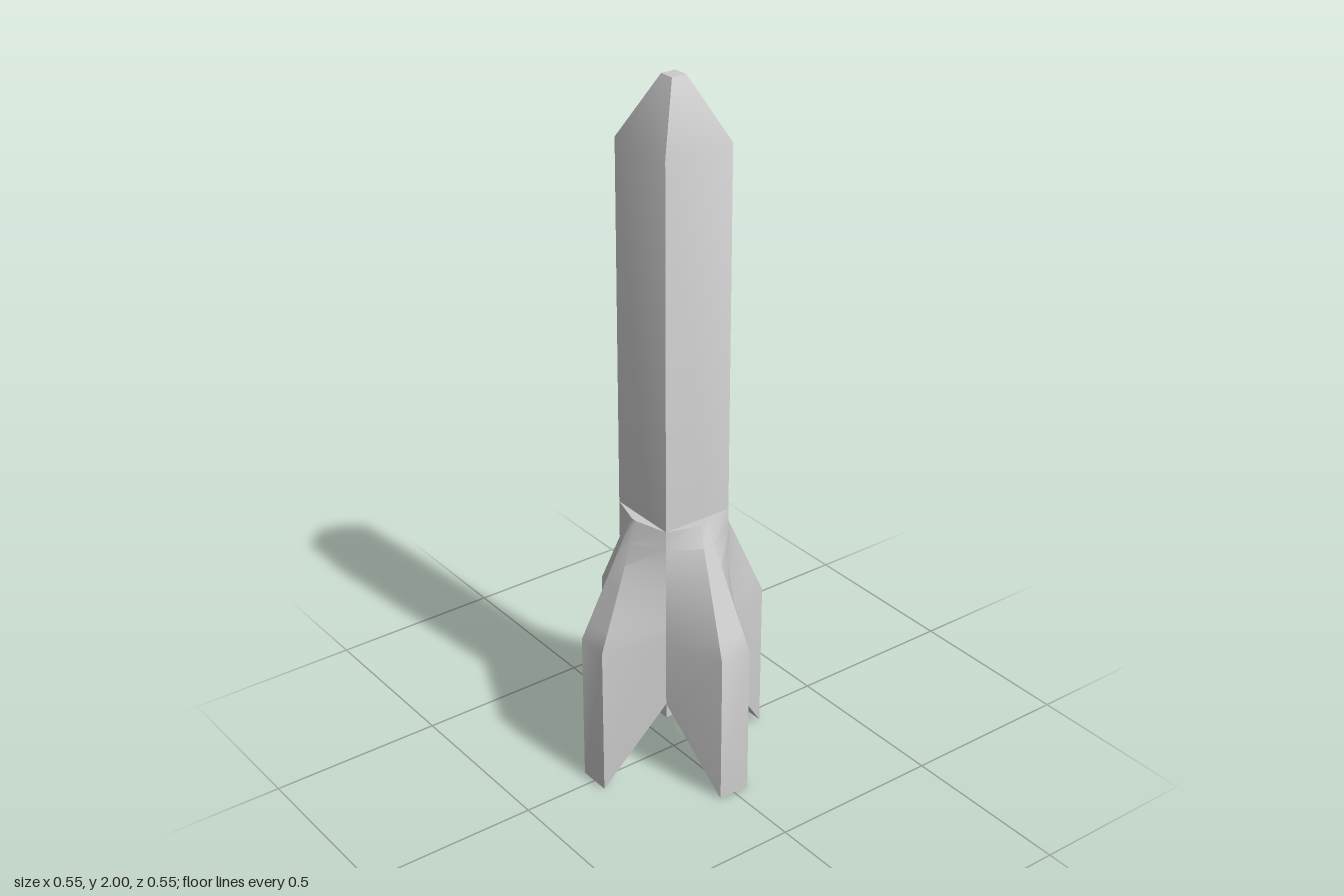
import * as THREE from 'three';
import { toCreasedNormals } from 'three/addons/utils/BufferGeometryUtils.js';

const CREASE = 0.6;
const HALF = 0.105; // half width of the square body

// Square body with a tapered, flat-tipped nose
function bodyGeometry() {
  const profile = [[0, 0.2], [HALF, 0.2], [HALF, 1.83], [0.022, 2], [0, 2]]
    .map(([h, y]) => new THREE.Vector2(h * Math.SQRT2, y));
  return toCreasedNormals(new THREE.LatheGeometry(profile, 4, Math.PI / 4), CREASE);
}

// Fin pointing to +x, lofted upwards through four-cornered sections
function finGeometry() {
  const section = (innerY, outerY, reach, halfWidth) => [
    [HALF, innerY, HALF], [reach, outerY, halfWidth],
    [reach, outerY, -halfWidth], [HALF, innerY, -HALF],
  ];
  const sections = [section(0.245, 0, 0.277, 0.047)];
  const steps = 6;
  for (let i = 0; i <= steps; i++) {
    const t = i / steps;
    const y = THREE.MathUtils.lerp(0.445, 0.79, t);
    sections.push(section(y, y, THREE.MathUtils.lerp(0.277, 0.132, t),
      THREE.MathUtils.lerp(0.047, 0.011, t)));
  }

  const positions = [];
  const quad = (a, b, c, d) => positions.push(...a, ...b, ...c, ...a, ...c, ...d);
  for (let k = 0; k < sections.length - 1; k++) {
    const low = sections[k], high = sections[k + 1];
    for (let j = 0; j < 3; j++) quad(low[j], low[j + 1], high[j + 1], high[j]);
  }
  quad(...sections[sections.length - 1]); // top
  quad(...[...sections[0]].reverse()); // sloping underside

  const geometry = new THREE.BufferGeometry();
  geometry.setAttribute('position', new THREE.Float32BufferAttribute(positions, 3));
  return toCreasedNormals(geometry, CREASE);
}

export function createModel() {
  const group = new THREE.Group();
  group.name = 'rocket';
  const material = new THREE.MeshStandardMaterial({ color: 0xcccccc });

  const body = new THREE.Mesh(bodyGeometry(), material);
  body.name = 'body';
  group.add(body);

  // Four fins, one on each side of the body
  const geometry = finGeometry();
  ['leftFin', 'backFin', 'rightFin', 'frontFin'].forEach((name, i) => {
    const fin = new THREE.Mesh(geometry, material);
    fin.name = name;
    fin.rotation.y = i * Math.PI / 2;
    group.add(fin);
  });
  return group;
}
